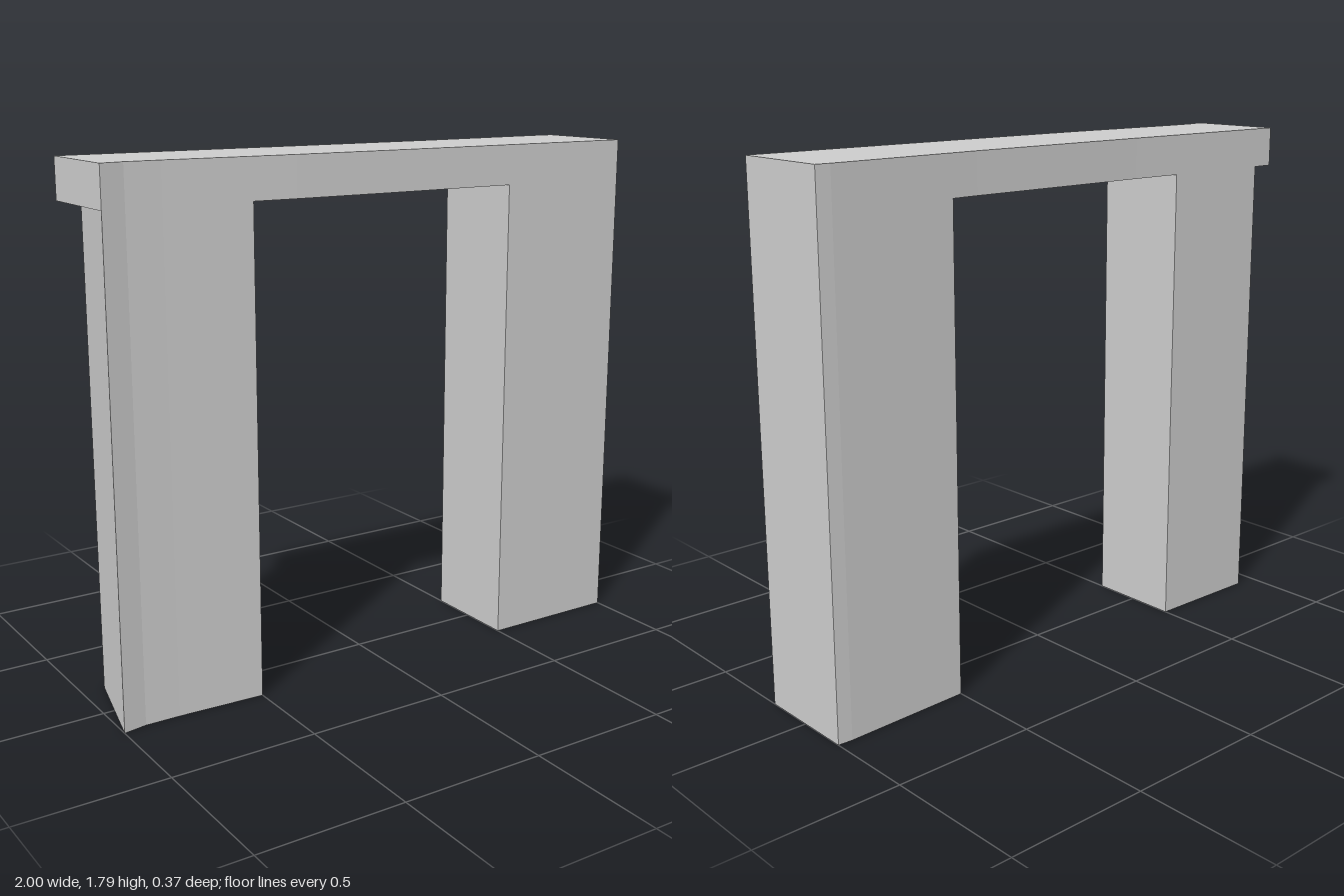
import * as THREE from 'three';

const HEIGHT = 1.787, LINTEL_BOTTOM = 1.65;

// Gently bowed plan outlines as [x, z], from right (-x) to left (+x)
const FRONT = [[-1, 0.165], [-0.92, 0.152], [-0.8, 0.154], [-0.35, 0.177], [0, 0.182], [1, 0.183]];
const BACK = [[-1, -0.18], [-0.3, -0.17], [0.4, -0.168], [0.95, -0.187], [1, -0.184]];

// Depth of an outline at a given x
function zAt(line, x) {
  const i = Math.max(1, line.findIndex((p) => p[0] >= x));
  const [x0, z0] = line[i - 1], [x1, z1] = line[i];
  return z0 + ((z1 - z0) * (x - x0)) / (x1 - x0);
}

// Part of an outline between two x values
function slice(line, a, b) {
  const inner = line.filter((p) => p[0] > a && p[0] < b);
  return [[a, zAt(line, a)], ...inner, [b, zAt(line, b)]];
}

// Upright block that follows the plan; its back may start further in than its front
function block(name, x0, x1, y0, y1, backX0 = x0) {
  const plan = [...slice(FRONT, x0, x1), ...slice(BACK, backX0, x1).reverse()];
  const shape = new THREE.Shape(plan.map(([x, z]) => new THREE.Vector2(x, -z)));
  const geometry = new THREE.ExtrudeGeometry(shape, { depth: y1 - y0, bevelEnabled: false });
  geometry.rotateX(-Math.PI / 2).translate(0, y0, 0);
  const mesh = new THREE.Mesh(geometry, new THREE.MeshStandardMaterial({ color: 0xcccccc }));
  mesh.name = name;
  return mesh;
}

export function createModel() {
  const group = new THREE.Group();
  group.name = 'archway';
  group.add(
    block('lintel', -1, 1, LINTEL_BOTTOM, HEIGHT),
    block('leftPillar', 0.5, 1, 0, LINTEL_BOTTOM),
    // The right pillar's outer face is skewed, leaving the lintel overhanging at the back
    block('rightPillar', -1, -0.5, 0, LINTEL_BOTTOM, -0.92),
  );
  return group;
}
